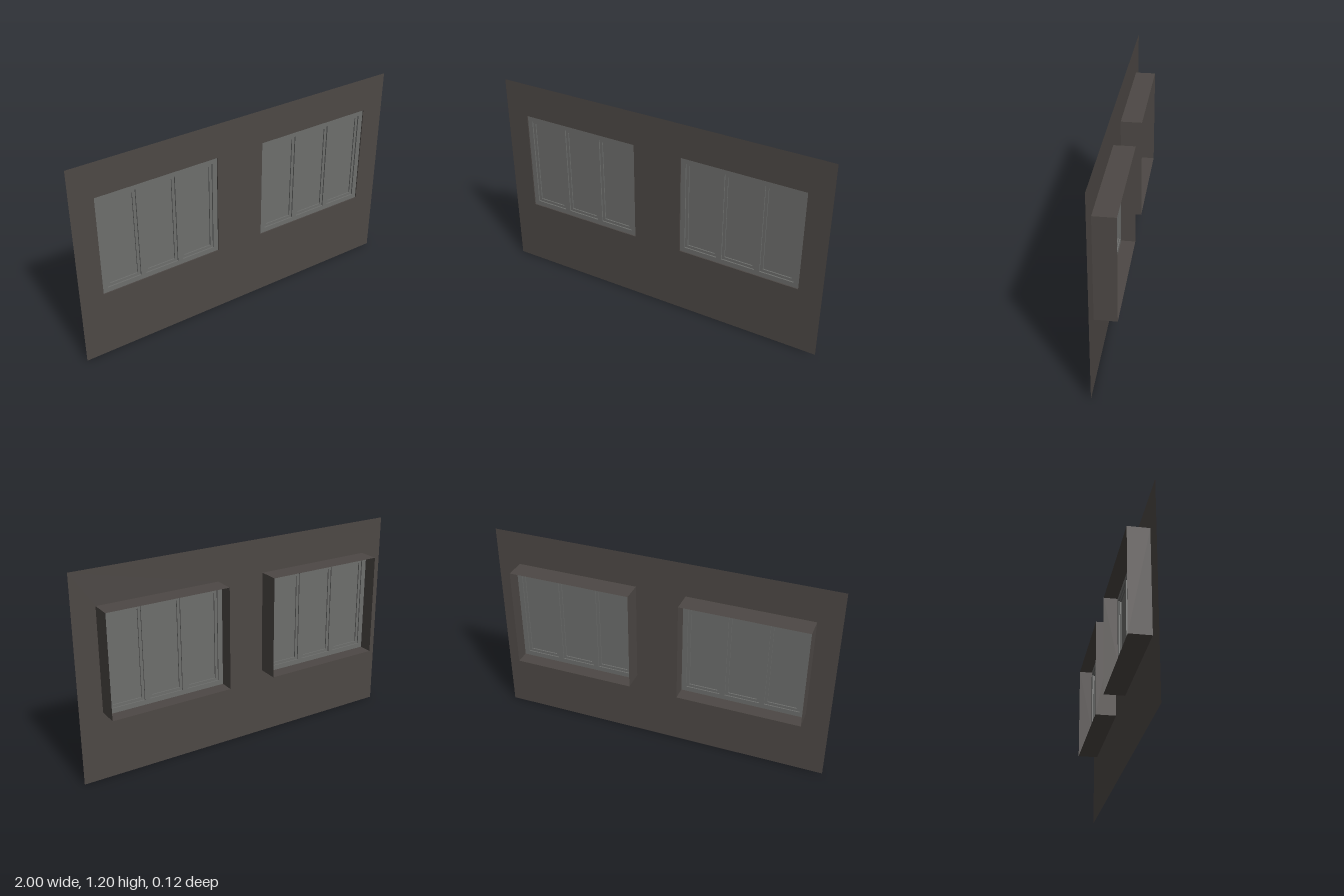
import * as THREE from 'three';

const WIN_W = 0.72, WIN_H = 0.6, WIN_Y = 0.7, WIN_X = 0.505;
const FRONT = 0.06, DEPTH = 0.12;

const rectPoints = (x, y, w, h) => [
  new THREE.Vector2(x - w / 2, y - h / 2), new THREE.Vector2(x + w / 2, y - h / 2),
  new THREE.Vector2(x + w / 2, y + h / 2), new THREE.Vector2(x - w / 2, y + h / 2),
];

// Rectangle with rectangular holes, each given as [x, y, w, h]
function rectShape(outer, holes) {
  const shape = new THREE.Shape(rectPoints(...outer));
  holes.forEach((h) => shape.holes.push(new THREE.Path(rectPoints(...h).reverse())));
  return shape;
}

function addMesh(parent, name, geometry, material, x = 0, y = 0, z = 0) {
  const mesh = new THREE.Mesh(geometry, material);
  mesh.name = name;
  mesh.position.set(x, y, z);
  parent.add(mesh);
  return mesh;
}

// Flat bordered slab running from z0 to z1
function addFrame(parent, name, outer, holes, z0, z1, material) {
  const geometry = new THREE.ExtrudeGeometry(rectShape(outer, holes), { depth: z1 - z0, bevelEnabled: false });
  return addMesh(parent, name, geometry, material, 0, 0, z0);
}

function createWindow(wallMat, frameMat) {
  const win = new THREE.Group();
  win.name = 'window';

  // Thin lining of the opening, standing out behind the wall
  for (const s of [-1, 1]) {
    const side = addMesh(win, 'revealSide', new THREE.PlaneGeometry(DEPTH, WIN_H), wallMat, s * WIN_W / 2);
    side.rotation.y = s * Math.PI / 2;
    const cap = addMesh(win, s > 0 ? 'revealTop' : 'revealSill', new THREE.PlaneGeometry(WIN_W, DEPTH), wallMat, 0, s * WIN_H / 2);
    cap.rotation.x = -s * Math.PI / 2;
  }

  // Three lights divided by two mullions
  const border = 0.03, mullion = 0.03, sash = 0.016;
  const paneW = (WIN_W - 2 * border - 2 * mullion) / 3;
  const paneH = WIN_H - 2 * border;
  const panes = [-1, 0, 1].map((i) => [i * (paneW + mullion), 0, paneW, paneH]);
  addFrame(win, 'windowFrame', [0, 0, WIN_W - 0.002, WIN_H - 0.002], panes, 0.02, 0.055, frameMat);

  for (const [x, y, w, h] of panes) {
    addFrame(win, 'sash', [x, y, w, h], [[x, y, w - 2 * sash, h - 2 * sash]], 0.027, 0.047, frameMat);
    addMesh(win, 'glass', new THREE.BoxGeometry(w - 2 * sash, h - 2 * sash, 0.006), frameMat, x, y, 0.037);
  }
  return win;
}

export function createModel() {
  const wallMat = new THREE.MeshStandardMaterial({ color: 0x4d4845, side: THREE.DoubleSide });
  wallMat.name = 'dark brown wall';
  const frameMat = new THREE.MeshStandardMaterial({ color: 0x6d6e6c });
  frameMat.name = 'grey window';

  const model = new THREE.Group();
  model.name = 'wallWithWindows';

  // Wall sheet with two openings
  const openings = [-1, 1].map((s) => [s * WIN_X, WIN_Y, WIN_W, WIN_H]);
  const wall = new THREE.ShapeGeometry(rectShape([0, 0.6, 2, 1.2], openings));
  addMesh(model, 'wall', wall, wallMat, 0, 0, FRONT);

  for (const s of [-1, 1]) {
    const win = createWindow(wallMat, frameMat);
    win.name = s > 0 ? 'leftWindow' : 'rightWindow';
    win.position.set(s * WIN_X, WIN_Y, 0);
    model.add(win);
  }
  return model;
}
